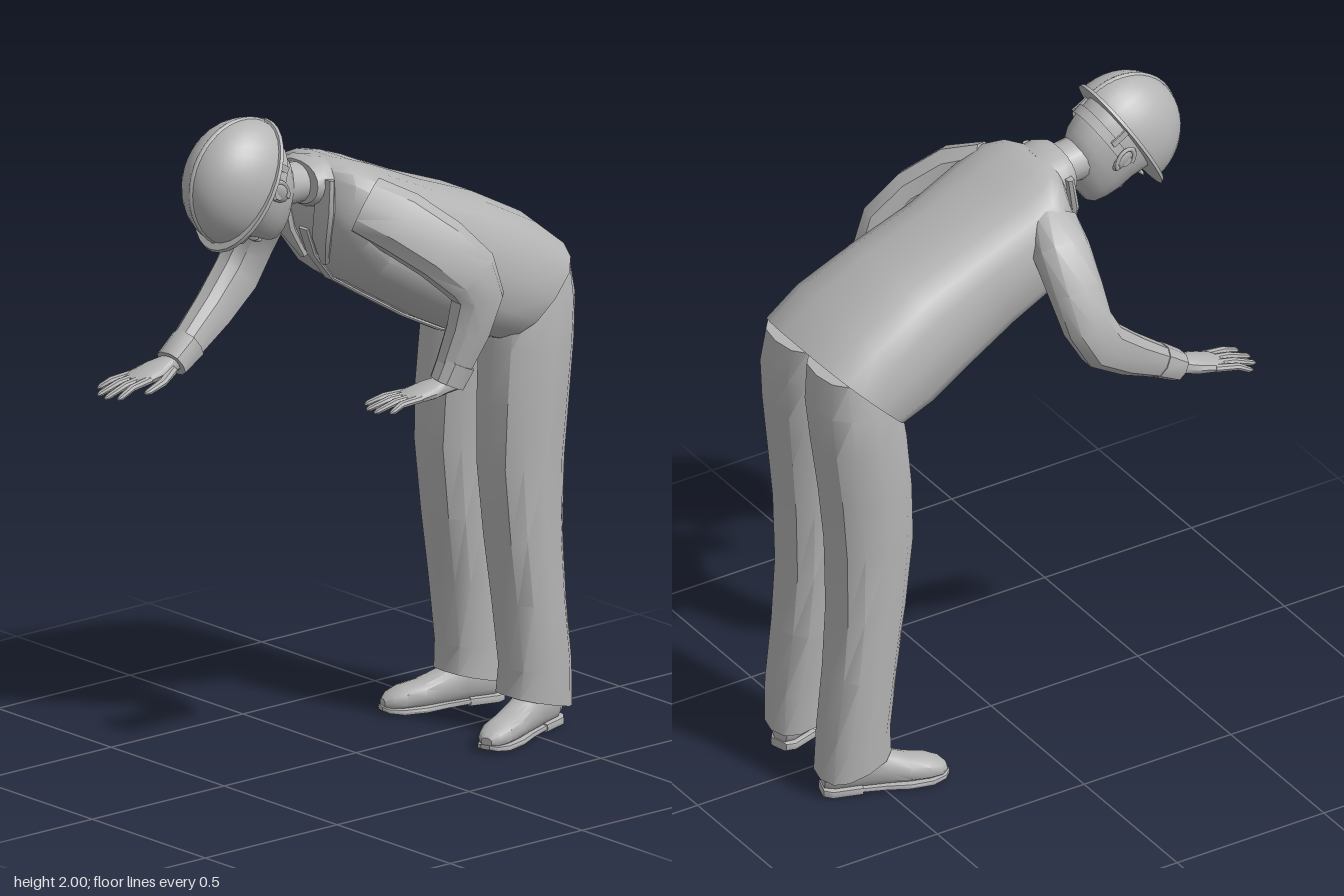
import * as THREE from 'three';
import { toCreasedNormals } from 'three/addons/utils/BufferGeometryUtils.js';

const V = (x, y, z) => new THREE.Vector3(x, y, z);
const clay = new THREE.MeshStandardMaterial({ color: 0xb4b4b4, side: THREE.DoubleSide });
clay.name = 'plain grey';

// Skin over rings {c, u, v}; e below 1 squares off the ellipse
function loft(rings, n = 14, e = 1, crease = 0.6) {
  const pos = [], idx = [];
  const pw = (t) => Math.sign(t) * Math.pow(Math.abs(t), e);
  rings.forEach(({ c, u, v }) => {
    for (let j = 0; j < n; j++) {
      const a = (j / n) * Math.PI * 2;
      const p = c.clone().addScaledVector(u, pw(Math.cos(a))).addScaledVector(v, pw(Math.sin(a)));
      pos.push(p.x, p.y, p.z);
    }
  });
  const last = rings.length - 1, r0 = rings[0], r1 = rings[last];
  const flip = r0.u.clone().cross(r0.v).dot(r1.c.clone().sub(r0.c)) < 0;
  const tri = (a, b, c) => (flip ? idx.push(a, c, b) : idx.push(a, b, c));
  for (let i = 0; i < last; i++) {
    for (let j = 0; j < n; j++) {
      const a = i * n + j, b = i * n + ((j + 1) % n);
      tri(a, b, a + n);
      tri(b, b + n, a + n);
    }
  }
  // end caps
  const s = pos.length / 3;
  pos.push(r0.c.x, r0.c.y, r0.c.z, r1.c.x, r1.c.y, r1.c.z);
  for (let j = 0; j < n; j++) {
    const k = (j + 1) % n;
    tri(s, k, j);
    tri(s + 1, last * n + j, last * n + k);
  }
  const g = new THREE.BufferGeometry();
  g.setAttribute('position', new THREE.Float32BufferAttribute(pos, 3));
  g.setIndex(idx);
  g.computeVertexNormals();
  return toCreasedNormals(g, crease);
}

// Limb along points [x, y, z, half width across, half depth]
function limb(pts, n, e, across = V(0, 0, 1)) {
  const c = pts.map((p) => V(p[0], p[1], p[2]));
  return loft(pts.map((p, i) => {
    const t = c[Math.min(i + 1, c.length - 1)].clone().sub(c[Math.max(i - 1, 0)]).normalize();
    const u = across.clone().addScaledVector(t, -across.dot(t)).normalize();
    return { c: c[i], u: u.clone().multiplyScalar(p[3]), v: t.clone().cross(u).multiplyScalar(p[4]) };
  }), n, e);
}

// Symmetric body from slices [back x, back y, front x, front y, half width]
const slices = (rows, n, e) => loft(rows.map(([bx, by, fx, fy, w]) => ({
  c: V((bx + fx) / 2, (by + fy) / 2, 0), u: V(0, 0, w), v: V((bx - fx) / 2, (by - fy) / 2, 0),
})), n, e);

function add(parent, name, geometry) {
  const m = new THREE.Mesh(geometry, clay);
  m.name = name;
  parent.add(m);
  return m;
}

// Group whose +x points along dir with y kept near up
function aimed(parent, name, origin, dir, up = V(0, 1, 0)) {
  const g = new THREE.Group();
  const x = dir.clone().normalize(), z = x.clone().cross(up).normalize();
  g.quaternion.setFromRotationMatrix(new THREE.Matrix4().makeBasis(x, z.clone().cross(x), z));
  g.position.copy(origin);
  g.name = name;
  parent.add(g);
  return g;
}

function hand(parent, name, from, to, thumbSide) {
  const g = aimed(parent, name, from, to.clone().sub(from));
  add(g, 'palm', limb([[-0.04, 0, 0, 0.03, 0.026], [0.02, 0, 0, 0.033, 0.025],
    [0.07, 0, 0, 0.049, 0.024], [0.13, 0, 0, 0.05, 0.018], [0.155, -0.002, 0, 0.043, 0.012]], 12, 0.8));
  [0.235, 0.265, 0.268, 0.25].forEach((len, i) => {
    const z = (1.5 - i) * -0.027 * thumbSide, tip = z * 1.45;
    add(g, 'finger', limb([[0.12, 0, z, 0.013, 0.012], [0.19, 0.006, (z + tip) / 2, 0.012, 0.011],
      [len - 0.012, -0.002, tip, 0.009, 0.009], [len, -0.004, tip, 0.004, 0.004]], 8));
  });
  const s = thumbSide;
  add(g, 'thumb', limb([[0.03, -0.008, s * 0.028, 0.018, 0.016], [0.09, -0.016, s * 0.058, 0.015, 0.013],
    [0.145, -0.02, s * 0.066, 0.011, 0.01], [0.16, -0.02, s * 0.066, 0.005, 0.005]], 8));
}

function shoe(parent, name, heel, toe) {
  const g = aimed(parent, name, heel, toe.clone().sub(heel));
  // rows: along, bottom, top, half width
  const build = (rows, e) => loft(rows.map(([x, b, t, w]) => (
    { c: V(x, (b + t) / 2, 0), u: V(0, 0, w), v: V(0, (t - b) / 2, 0) })), 14, e);
  add(g, 'shoeUpper', build([[0, 0.02, 0.11, 0.03], [0.03, 0.01, 0.15, 0.045], [0.12, 0.01, 0.15, 0.047],
    [0.19, 0.01, 0.115, 0.048], [0.25, 0.01, 0.09, 0.053], [0.31, 0.01, 0.078, 0.051],
    [0.35, 0.012, 0.062, 0.038], [0.368, 0.02, 0.045, 0.018]], 0.85));
  add(g, 'sole', build([[0.09, 0.008, 0.024, 0.045], [0.18, 0.003, 0.022, 0.047], [0.25, 0, 0.02, 0.057],
    [0.32, 0, 0.02, 0.053], [0.36, 0.006, 0.022, 0.036], [0.375, 0.012, 0.026, 0.015]], 0.4));
  add(g, 'heel', build([[-0.004, 0, 0.028, 0.03], [0.02, 0, 0.028, 0.047], [0.11, 0, 0.028, 0.048]], 0.4));
}

function buildHead(parent) {
  const head = new THREE.Group();
  head.name = 'head';
  head.quaternion.setFromRotationMatrix(new THREE.Matrix4().makeBasis(
    V(-0.5, -0.866, 0), V(-0.866, 0.5, 0), V(0, 0, -1)));
  head.position.set(-0.445, 1.8, 0);
  parent.add(head);

  // rows: height, front, back, half width
  add(head, 'face', loft([[-0.2, 0.09, 0.03, 0.028], [-0.185, 0.108, -0.03, 0.052], [-0.15, 0.118, -0.1, 0.076],
    [-0.11, 0.122, -0.132, 0.09], [-0.06, 0.118, -0.148, 0.1], [0, 0.128, -0.153, 0.106], [0.06, 0.12, -0.14, 0.1],
  ].map(([y, f, b, w]) => ({ c: V((f + b) / 2, y, 0), u: V((f - b) / 2, 0, 0), v: V(0, 0, w) })), 20, 0.9, 0.9));
  add(head, 'nose', limb([[0.115, -0.035, 0, 0.011, 0.012], [0.128, -0.075, 0, 0.014, 0.015],
    [0.137, -0.093, 0, 0.018, 0.016], [0.12, -0.108, 0, 0.012, 0.008]], 8));
  [-0.128, -0.142].forEach((y) => {
    const lip = add(head, 'lip', new THREE.SphereGeometry(1, 10, 6));
    lip.scale.set(0.012, 0.008, 0.028);
    lip.position.set(0.118, y, 0);
  });
  [-1, 1].forEach((s) => {
    const ear = add(head, 'ear', new THREE.SphereGeometry(1, 12, 8));
    ear.scale.set(0.028, 0.042, 0.012);
    ear.position.set(-0.02, -0.06, s * 0.106);
    ear.rotation.set(0, s * 0.35, 0.2);
    const rim = add(head, 'earRim', new THREE.TorusGeometry(0.026, 0.006, 6, 14, Math.PI * 1.4));
    rim.scale.set(1, 1.35, 1);
    rim.position.set(-0.022, -0.056, s * 0.116);
    rim.rotation.z = 0.4;
    const brow = add(head, 'brow', new THREE.SphereGeometry(1, 10, 6));
    brow.scale.set(0.012, 0.007, 0.03);
    brow.position.set(0.112, -0.03, s * 0.042);
  });

  // hard hat
  const dome = add(head, 'helmetDome', new THREE.SphereGeometry(1, 28, 12, 0, Math.PI * 2, 0, Math.PI / 2));
  dome.scale.set(0.19, 0.185, 0.14);
  dome.position.x = -0.008;
  const ridge = add(head, 'helmetRidge', new THREE.SphereGeometry(1, 24, 10, 0, Math.PI * 2, 0, Math.PI / 2));
  ridge.scale.set(0.194, 0.19, 0.038);
  ridge.position.x = -0.008;
  const brim = add(head, 'helmetBrim', new THREE.CylinderGeometry(0.98, 1, 0.01, 32));
  brim.scale.set(0.208, 1, 0.153);
  const band = add(head, 'helmetBand', new THREE.CylinderGeometry(1, 0.97, 0.03, 20, 1, true, Math.PI, Math.PI));
  band.scale.set(0.165, 1, 0.118);
  band.position.y = -0.055;
  [-1, 1].forEach((s) => {
    const strap = add(head, 'helmetStrap', new THREE.BoxGeometry(0.02, 0.06, 0.006));
    strap.position.set(-0.09, -0.03, s * 0.105);
  });
}

export function createModel() {
  const man = new THREE.Group();
  man.name = 'bendingWorker';

  // jacket, hem to neck
  add(man, 'jacket', slices([[0.645, 1.44, 0.41, 1.2, 0.235], [0.665, 1.455, 0.4, 1.19, 0.262],
    [0.56, 1.54, 0.3, 1.225, 0.262], [0.38, 1.635, 0.17, 1.29, 0.24], [0.18, 1.71, 0.02, 1.38, 0.23],
    [0, 1.79, -0.1, 1.455, 0.24], [-0.08, 1.82, -0.165, 1.54, 0.23], [-0.13, 1.832, -0.195, 1.62, 0.18],
    [-0.17, 1.825, -0.205, 1.7, 0.1]], 18, 0.72));
  add(man, 'frontPlacket', limb([[0.385, 1.19, 0, 0.02, 0.006], [0.3, 1.222, 0, 0.02, 0.006],
    [0.17, 1.287, 0, 0.02, 0.006], [0.02, 1.377, 0, 0.02, 0.006], [-0.1, 1.452, 0, 0.02, 0.006],
    [-0.168, 1.538, 0, 0.02, 0.006], [-0.198, 1.62, 0, 0.02, 0.006]], 8, 0.5));
  add(man, 'collar', slices([[-0.145, 1.83, -0.17, 1.68, 0.115], [-0.19, 1.84, -0.215, 1.695, 0.112],
    [-0.225, 1.832, -0.235, 1.705, 0.1], [-0.225, 1.82, -0.233, 1.715, 0.085]], 18, 0.9));
  [-1, 1].forEach((s) => add(man, 'lapel', limb([[-0.195, 1.79, s * 0.1, 0.03, 0.012],
    [-0.205, 1.7, s * 0.1, 0.04, 0.014], [-0.195, 1.6, s * 0.075, 0.035, 0.014],
    [-0.155, 1.52, s * 0.045, 0.012, 0.012]], 8, 0.6)));

  add(man, 'neck', limb([[-0.14, 1.75, 0, 0.075, 0.065], [-0.23, 1.765, 0, 0.067, 0.06],
    [-0.29, 1.77, 0, 0.068, 0.065], [-0.36, 1.765, 0, 0.078, 0.08]], 16));
  buildHead(man);

  // arms
  add(man, 'leftSleeve', limb([[-0.11, 1.71, 0.17, 0.06, 0.09], [-0.05, 1.665, 0.255, 0.07, 0.098],
    [0.04, 1.585, 0.325, 0.066, 0.096], [0.12, 1.5, 0.362, 0.06, 0.092], [0.148, 1.43, 0.365, 0.058, 0.085],
    [0.125, 1.33, 0.35, 0.054, 0.07], [0.088, 1.225, 0.328, 0.046, 0.056]], 10, 0.85));
  add(man, 'leftCuff', limb([[0.095, 1.235, 0.332, 0.05, 0.06], [0.068, 1.175, 0.322, 0.046, 0.054]], 10, 0.85));
  hand(man, 'leftHand', V(0.075, 1.175, 0.323), V(-0.2, 1.13, 0.275), 1);
  add(man, 'rightSleeve', limb([[-0.1, 1.71, -0.17, 0.06, 0.08], [-0.08, 1.66, -0.25, 0.075, 0.085],
    [-0.085, 1.56, -0.32, 0.066, 0.08], [-0.1, 1.46, -0.36, 0.06, 0.075], [-0.145, 1.38, -0.366, 0.06, 0.075],
    [-0.25, 1.3, -0.345, 0.054, 0.064], [-0.39, 1.21, -0.318, 0.046, 0.046]], 10, 0.85));
  add(man, 'rightCuff', limb([[-0.36, 1.23, -0.322, 0.053, 0.052], [-0.43, 1.185, -0.315, 0.05, 0.045]], 10, 0.85));
  hand(man, 'rightHand', V(-0.42, 1.19, -0.315), V(-0.68, 1.132, -0.335), -1);

  // trousers: rows are height, front x, back x, inner z, outer z
  const rows = [[0.09, 0.435, 0.655, 0.055, 0.245], [0.2, 0.445, 0.65, 0.055, 0.25], [0.4, 0.425, 0.63, 0.045, 0.25],
    [0.6, 0.4, 0.62, 0.035, 0.25], [0.82, 0.378, 0.63, 0.028, 0.25], [1, 0.385, 0.648, 0.016, 0.255],
    [1.17, 0.4, 0.668, 0.002, 0.255], [1.3, 0.42, 0.678, -0.01, 0.25], [1.41, 0.47, 0.665, -0.01, 0.23]];
  [['left', 1], ['right', -1]].forEach(([side, s]) => {
    const back = s < 0 ? 0.025 : 0;
    add(man, side + 'TrouserLeg', loft(rows.map(([y, f, b, i, o]) => {
      const shift = back * Math.max(0, 1 - y / 0.9), tilt = y < 0.15 ? -0.03 : 0;
      return { c: V((f + b) / 2 + shift, y, s * (i + o) / 2), u: V((b - f) / 2, tilt, 0), v: V(0, 0, (o - i) / 2) };
    }), 12, 0.8));
    shoe(man, side + 'Shoe', V(0.635 + back, 0, s * 0.135), V(0.285 + back / 2, 0, s * 0.245));
  });
  return man;
}
